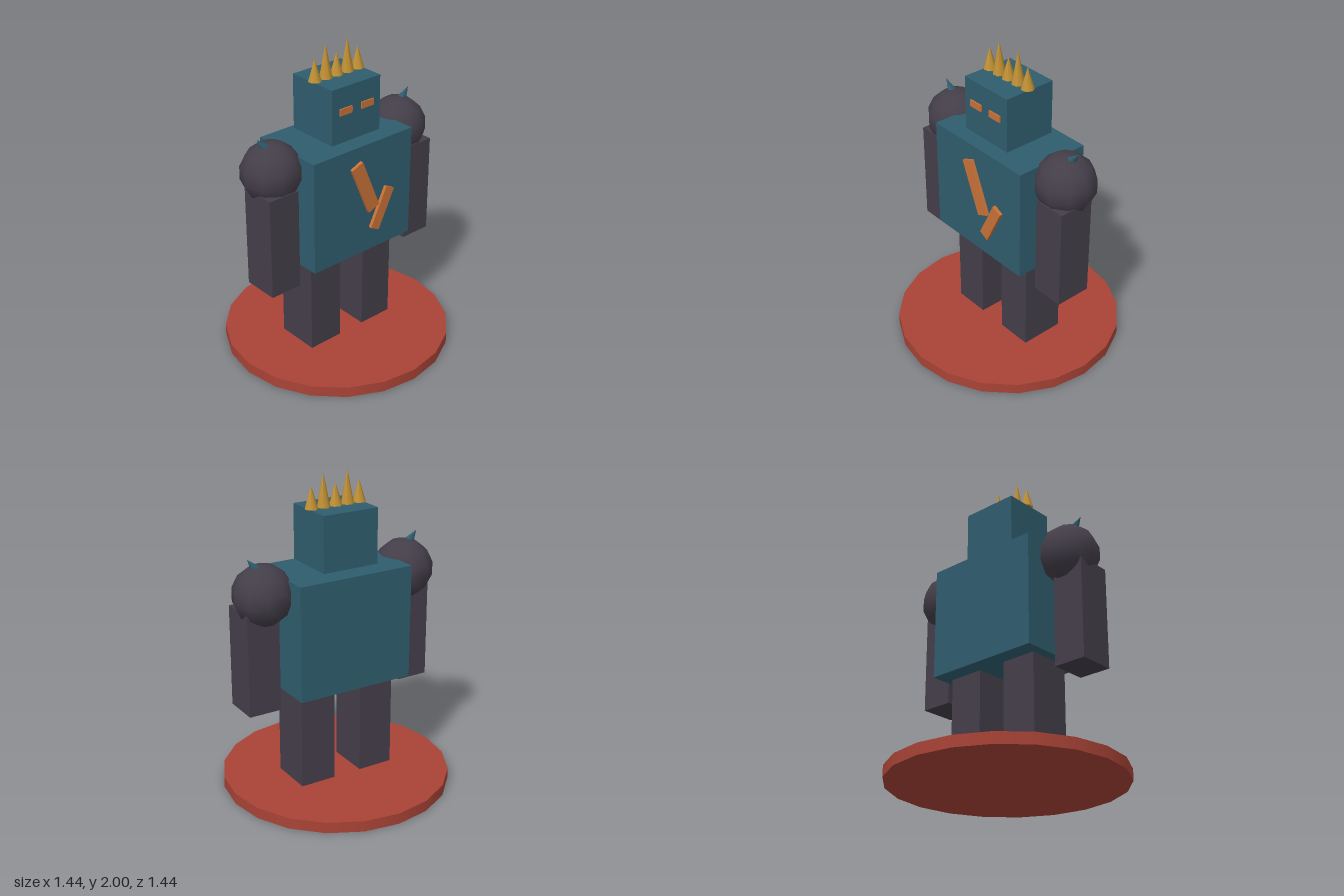
import * as THREE from 'three';

const mat = (name, color) => {
  const m = new THREE.MeshStandardMaterial({ color });
  m.name = name;
  return m;
};

export function createModel() {
  const teal = mat('teal', 0x2f5d6e);
  const charcoal = mat('charcoal', 0x443e49);
  const red = mat('brick red', 0xa94336);
  const gold = mat('gold', 0xc39235);
  const orange = mat('orange', 0xc87137);

  const model = new THREE.Group();
  model.name = 'robotFigure';

  const add = (name, geometry, material, x, y, z) => {
    const mesh = new THREE.Mesh(geometry, material);
    mesh.name = name;
    mesh.position.set(x, y, z);
    model.add(mesh);
    return mesh;
  };
  const box = (name, material, w, h, d, x, y, z) =>
    add(name, new THREE.BoxGeometry(w, h, d), material, x, y, z);

  // Round base with a corner on each axis
  add('base', new THREE.CylinderGeometry(0.722, 0.722, 0.07, 20), red, 0, 0.035, 0);

  // Torso and head
  box('torso', teal, 0.77, 0.72, 0.492, 0, 1.056, 0);
  box('head', teal, 0.372, 0.346, 0.346, 0, 1.615, 0);

  // Crown of alternating spikes
  for (let i = -2; i <= 2; i++) {
    const h = Math.abs(i) === 1 ? 0.207 : 0.138;
    const cone = new THREE.ConeGeometry(0.041, h, 7).rotateY(Math.PI / 2);
    add('crownSpike', cone, gold, i * 0.0825, 1.788 + h / 2, 0);
  }

  // Crossed plates on the chest
  box('chestSlashLong', orange, 0.087, 0.353, 0.022, 0, 1.146, 0.256).rotation.z = 0.4;
  box('chestSlashShort', orange, 0.071, 0.274, 0.022, 0.138, 0.96, 0.256).rotation.z = -0.46;

  // Mirrored parts
  for (const [side, s] of [['left', 1], ['right', -1]]) {
    box(side + 'Eye', orange, 0.095, 0.042, 0.009, s * 0.083, 1.638, 0.1775);
    box(side + 'Leg', charcoal, 0.232, 0.63, 0.28, s * 0.211, 0.383, 0);
    box(side + 'Arm', charcoal, 0.21, 0.64, 0.232, s * 0.535, 0.914, 0.045);
    add(side + 'Shoulder', new THREE.SphereGeometry(0.188, 10, 7), charcoal, s * 0.497, 1.32, 0);

    // Spike leaning outward from the shoulder
    const spike = new THREE.ConeGeometry(0.036, 0.1, 6).translate(0, -0.05, 0);
    add(side + 'ShoulderSpike', spike, teal, s * 0.593, 1.549, 0).rotation.z = -s * 0.7;
  }
  return model;
}
